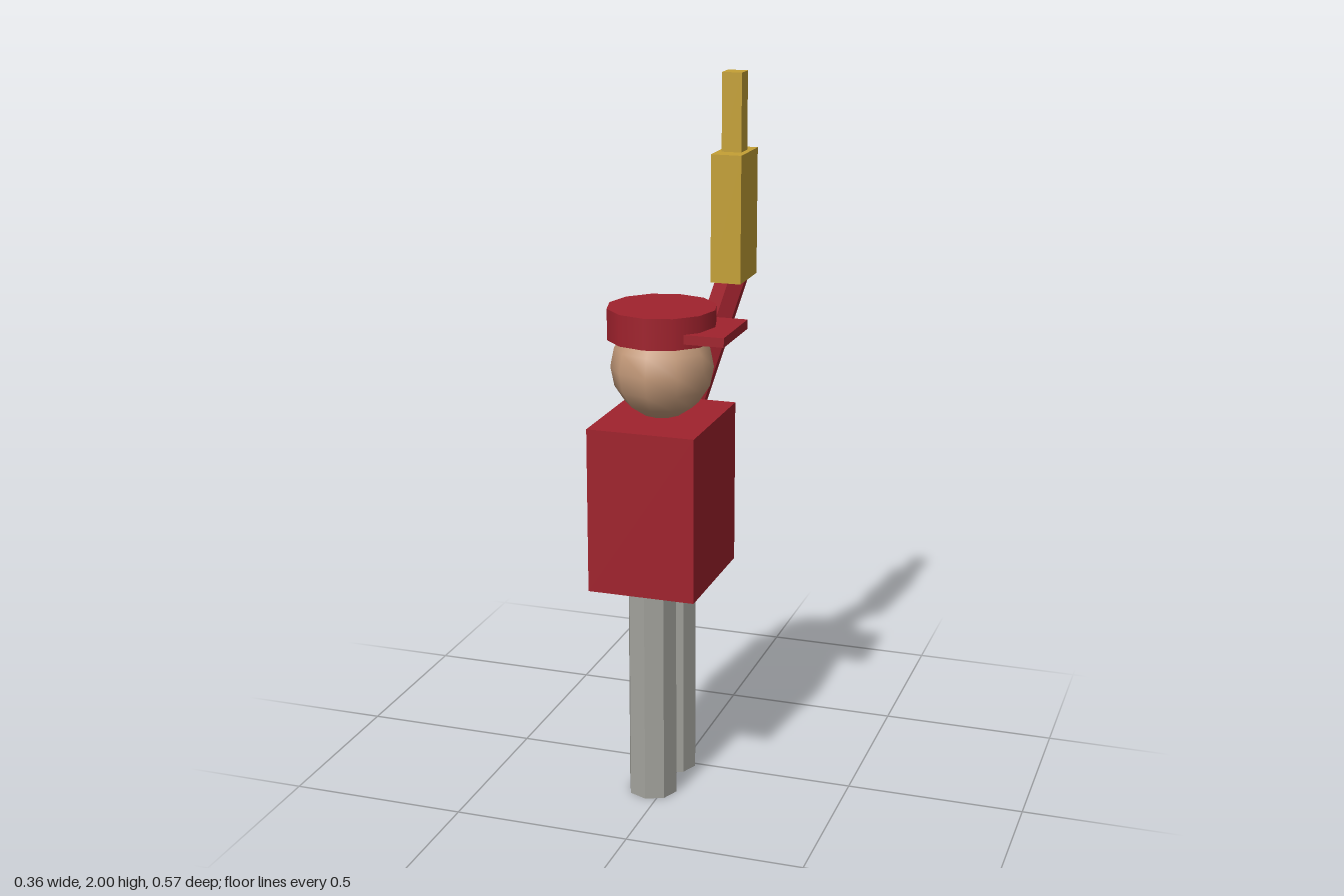
import * as THREE from 'three';

const material = (name, color) => {
  const m = new THREE.MeshStandardMaterial({ color });
  m.name = name;
  return m;
};

// Gives each facet its own flat normal
function faceted(geometry) {
  const g = geometry.toNonIndexed();
  g.computeVertexNormals();
  return g;
}

export function createModel() {
  const red = material('uniformRed', 0xa0222d);
  const grey = material('trouserGrey', 0xa2a29c);
  const gold = material('brassGold', 0xc4a035);
  const skin = material('skin', 0xc49a7a);

  const model = new THREE.Group();
  model.name = 'figure';
  const add = (name, geometry, mat, x, y, z) => {
    const mesh = new THREE.Mesh(geometry, mat);
    mesh.name = name;
    mesh.position.set(x, y, z);
    model.add(mesh);
    return mesh;
  };

  const cx = -0.03, cz = 0.098;

  // Octagonal legs
  const legGeometry = faceted(new THREE.CylinderGeometry(0.07, 0.07, 0.625, 8));
  for (const [name, z] of [['firstLeg', 0.188], ['secondLeg', 0.014]]) {
    add(name, legGeometry, grey, cx, 0.3125, z);
  }

  // Torso
  add('torso', new THREE.BoxGeometry(0.305, 0.467, 0.377), red, cx, 0.8565, 0.097);

  // Head, ten-sided with its points along z
  const head = add('head', new THREE.SphereGeometry(0.142, 10, 8), skin, cx, 1.23, cz);
  head.rotation.y = Math.PI / 2;

  // Cap with its peak over the +x side
  add('cap', new THREE.CylinderGeometry(0.152, 0.152, 0.087, 12), red, cx, 1.356, cz);
  add('capPeak', new THREE.BoxGeometry(0.15, 0.026, 0.219), red, 0.105, 1.34, cz);

  // Raised hexagonal arm leaning from shoulder to hand
  const shoulder = new THREE.Vector3(-0.035, 1.02, -0.118);
  const hand = new THREE.Vector3(0.08, 1.43, -0.198);
  const reach = hand.clone().sub(shoulder);
  const middle = shoulder.clone().add(hand).multiplyScalar(0.5);
  const arm = add('raisedArm',
    faceted(new THREE.CylinderGeometry(0.046, 0.046, reach.length(), 6)),
    red, middle.x, middle.y, middle.z);
  arm.rotation.set(Math.atan2(Math.hypot(reach.x, reach.z), reach.y),
    Math.atan2(reach.x, reach.z), 0, 'YXZ');

  // Held instrument: wide block with a slim block on top
  add('instrumentBody', new THREE.BoxGeometry(0.087, 0.36, 0.159), gold, 0.0795, 1.601, -0.2085);
  add('instrumentTop', new THREE.BoxGeometry(0.057, 0.219, 0.057), gold, 0.0785, 1.8905, -0.21);

  return model;
}
